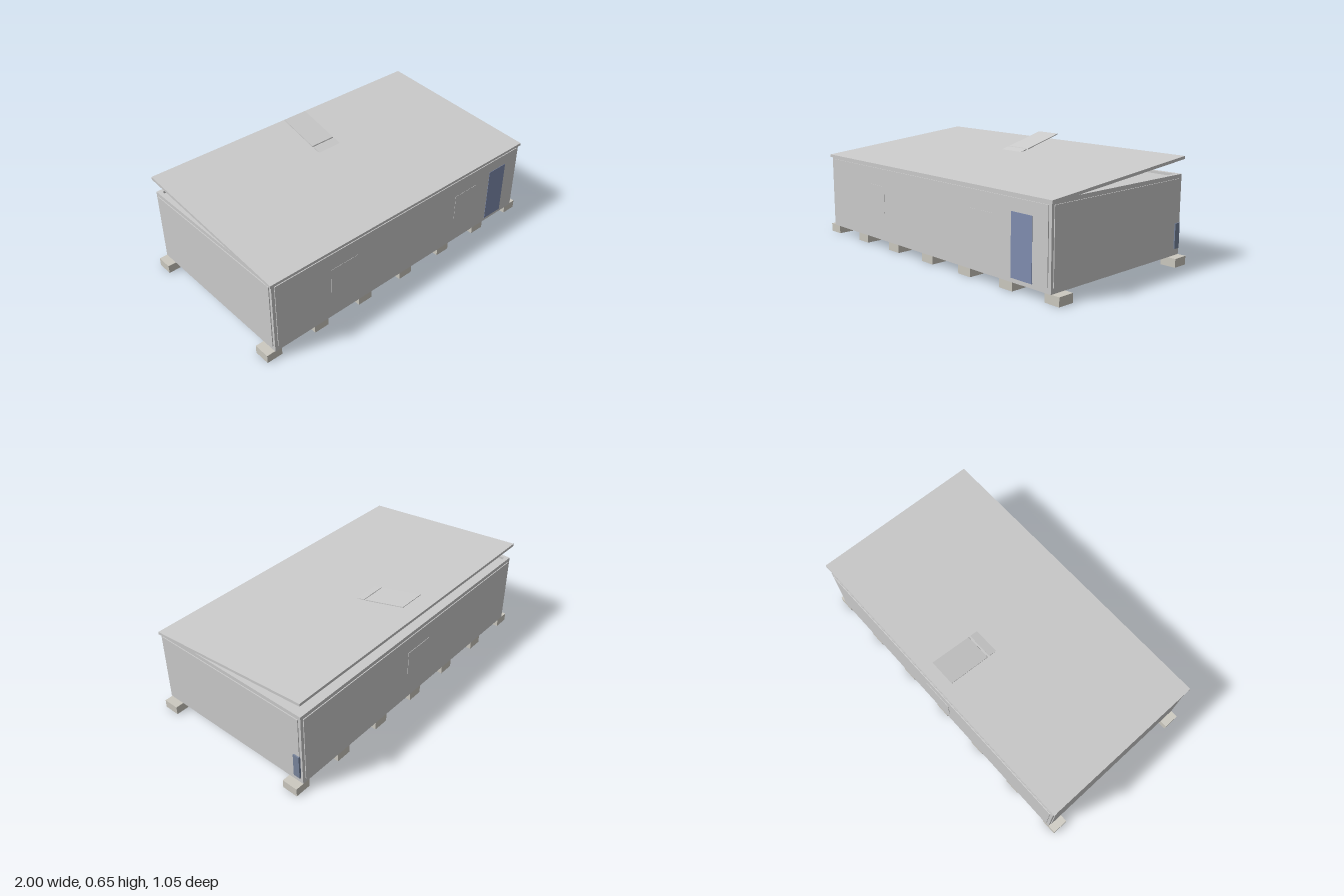
import * as THREE from 'three';

const grey = new THREE.MeshStandardMaterial({ color: 0xcccccc });
const blue = new THREE.MeshStandardMaterial({ color: 0x808db0 });
const darkBlue = new THREE.MeshStandardMaterial({ color: 0x78849c });
const concrete = new THREE.MeshStandardMaterial({ color: 0xccc9c0 });
const wood = new THREE.MeshStandardMaterial({ color: 0xc4bba6 });

export function createModel() {
  const model = new THREE.Group();

  // Box given by its extents along each axis
  function box(name, [x0, x1], [y0, y1], [z0, z1], material = grey) {
    const mesh = new THREE.Mesh(new THREE.BoxGeometry(x1 - x0, y1 - y0, z1 - z0), material);
    mesh.position.set((x0 + x1) / 2, (y0 + y1) / 2, (z0 + z1) / 2);
    mesh.name = name;
    model.add(mesh);
    return mesh;
  }

  // Sloping plate: side profile in (z, y), extruded across x
  function plate(name, width, profile) {
    const shape = new THREE.Shape(profile.map(([z, y]) => new THREE.Vector2(-z, y)));
    const geometry = new THREE.ExtrudeGeometry(shape, { depth: width, bevelEnabled: false });
    geometry.translate(0, 0, -width / 2);
    geometry.rotateY(Math.PI / 2);
    const mesh = new THREE.Mesh(geometry, grey);
    mesh.name = name;
    model.add(mesh);
  }

  const X = 0.95, Z = 0.518, BASE = 0.05, TOP = 0.505, RAIL = 0.025;

  // Foundation blocks in two rows
  for (const z of [-0.47, 0.465]) {
    for (let i = 0; i < 7; i++) {
      const x = -0.9525 + i * 0.3175;
      box('foundationBlock', [x - 0.0475, x + 0.0475], [0, BASE], [z - 0.048, z + 0.048], concrete);
    }
  }

  // Floor and recessed ceiling
  box('floor', [-X + 0.012, X - 0.012], [BASE + 0.001, 0.08], [-Z + 0.012, Z - 0.012], wood);
  box('ceiling', [-X + 0.01, X - 0.01], [0.475, 0.49], [-Z + 0.01, Z - 0.01]);

  // Frame: sills, top rails and corner posts
  for (const [y0, y1] of [[BASE, 0.08], [0.48, TOP]]) {
    for (const s of [-1, 1]) {
      const z = s * (Z - RAIL / 2), x = s * (X - RAIL / 2);
      box('longRail', [-X, X], [y0, y1], [z - RAIL / 2, z + RAIL / 2]);
      box('endRail', [x - RAIL / 2, x + RAIL / 2], [y0, y1], [-Z + RAIL, Z - RAIL]);
    }
  }
  for (const sx of [-1, 1]) {
    for (const sz of [-1, 1]) {
      const x = sx * (X - RAIL / 2), z = sz * (Z - RAIL / 2);
      box('cornerPost', [x - RAIL / 2, x + RAIL / 2], [0.08, 0.48], [z - RAIL / 2, z + RAIL / 2]);
    }
  }

  // Wall panels standing slightly proud of the frame
  for (const s of [-1, 1]) {
    const z = s * (Z - 0.004), x = s * (X - 0.004);
    box('longWall', [-X + 0.018, X - 0.018], [0.08, 0.482], [z - 0.009, z + 0.009]);
    box('endWall', [x - 0.009, x + 0.009], [0.08, 0.482], [-0.502, 0.502]);
  }

  // Door, windows and service box
  box('door', [0.685, 0.83], [0.075, 0.413], [0.515, 0.525], blue);
  for (const x of [-0.48, 0.48]) {
    box('frontWindow', [x - 0.095, x + 0.095], [0.22, 0.38], [0.515, 0.5245]);
  }
  box('backWindow', [-0.095, 0.095], [0.22, 0.38], [-0.5255, -0.515]);
  box('serviceBox', [0.945, 0.962], [0.09, 0.235], [-0.505, -0.465], darkBlue);

  // Tilted roof, open towards the back
  plate('roof', 1.92, [[0.527, 0.492], [0.527, 0.508], [-0.527, 0.604], [-0.527, 0.587]]);

  // Two tilted roof panels, the front one partly sunk through the roof
  plate('frontRoofPanel', 0.16, [[0.07, 0.509], [0.068, 0.514], [-0.19, 0.582], [-0.189, 0.577]]);
  plate('rearRoofPanel', 0.16, [[-0.2, 0.578], [-0.202, 0.584], [-0.46, 0.652], [-0.459, 0.647]]);

  // Small peg below the roof panels
  box('ceilingPeg', [-0.003, 0.003], [0.488, 0.513], [-0.067, -0.062]);

  return model;
}
